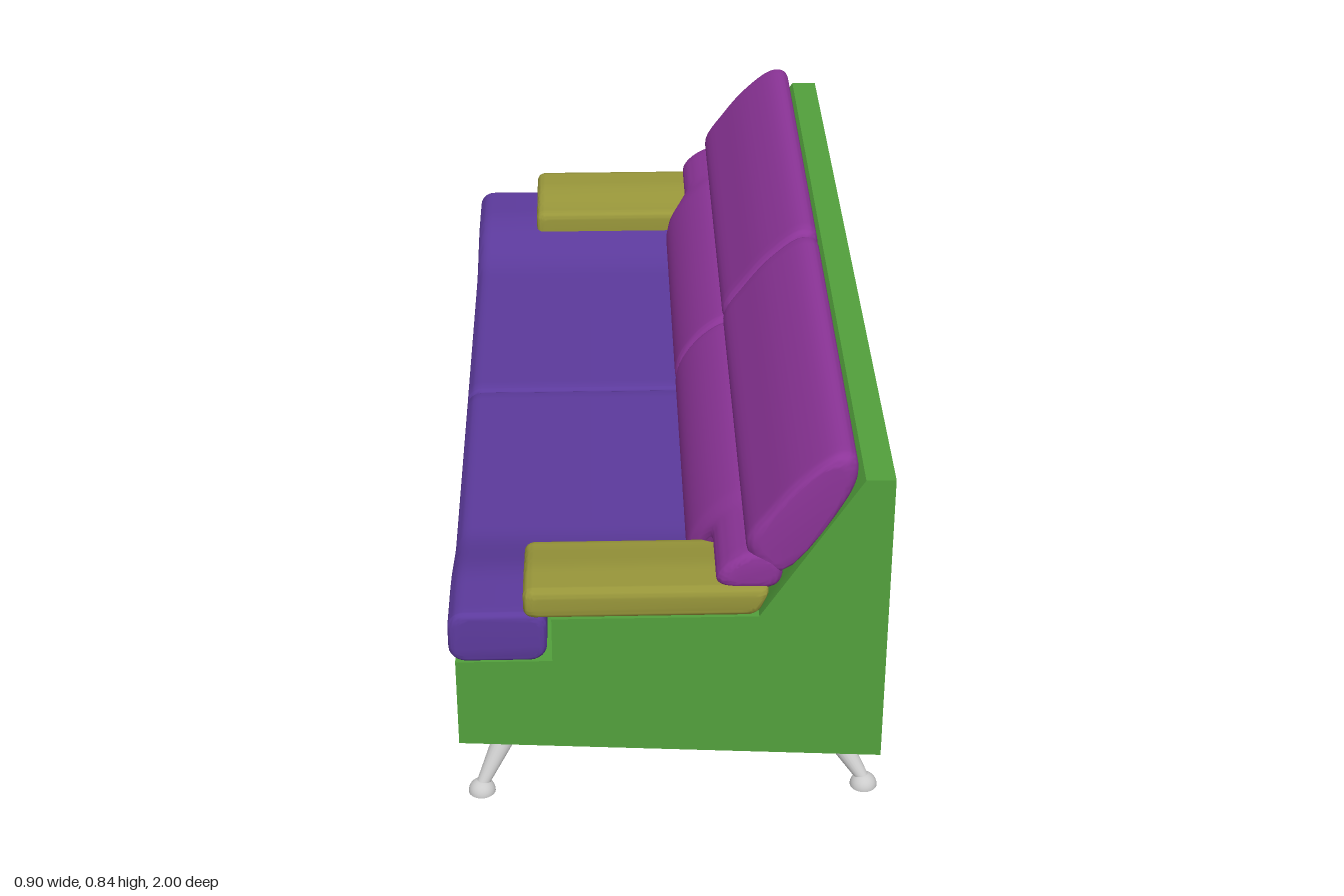
import * as THREE from 'three';
import { toCreasedNormals } from 'three/addons/utils/BufferGeometryUtils.js';

const mat = (color) => new THREE.MeshStandardMaterial({ color, roughness: 0.8 });
const GREEN = mat(0x52a03c), BLUE = mat(0x5c3a9c), PURPLE = mat(0x8c3498), OLIVE = mat(0x98963a), GREY = mat(0xcccccc);
const smooth = THREE.MathUtils.smoothstep;
const lerp = THREE.MathUtils.lerp;

// Closed solid lofted along z; section(z) gives counter-clockwise [x, y] points, r rounds both ends
function loft(section, z0, z1, r = 0, steps = 40) {
  const zs = [];
  const curve = r ? 6 : 0;
  for (let i = 0; i < curve; i++) zs.push(z0 + r * (1 - Math.cos((i / curve) * Math.PI / 2)));
  for (let i = 0; i <= steps; i++) zs.push(lerp(z0 + r, z1 - r, i / steps));
  for (let i = curve - 1; i >= 0; i--) zs.push(z1 - r * (1 - Math.cos((i / curve) * Math.PI / 2)));
  const pos = [], idx = [];
  let n = 0, first, last;
  zs.forEach((z, k) => {
    const pts = section(z);
    n = pts.length;
    const d = Math.min(z - z0, z1 - z, r);
    const inset = r - Math.sqrt(Math.max(0, r * r - (r - d) ** 2));
    const box = new THREE.Box2().setFromPoints(pts.map((p) => new THREE.Vector2(...p)));
    const c = box.getCenter(new THREE.Vector2()), s = box.getSize(new THREE.Vector2());
    const ring = pts.map(([x, y]) => new THREE.Vector2(
      c.x + (x - c.x) * (1 - 2 * inset / s.x), c.y + (y - c.y) * (1 - 2 * inset / s.y)));
    ring.forEach((p) => pos.push(p.x, p.y, z));
    if (k === 0) first = ring;
    last = ring;
  });
  for (let i = 0; i < zs.length - 1; i++) {
    for (let j = 0; j < n; j++) {
      const a = i * n + j, b = i * n + (j + 1) % n;
      idx.push(a, b, b + n, a, b + n, a + n);
    }
  }
  const top = (zs.length - 1) * n;
  THREE.ShapeUtils.triangulateShape(first, []).forEach(([a, b, c]) => idx.push(a, c, b));
  THREE.ShapeUtils.triangulateShape(last, []).forEach(([a, b, c]) => idx.push(top + a, top + b, top + c));
  const g = new THREE.BufferGeometry();
  g.setAttribute('position', new THREE.Float32BufferAttribute(pos, 3));
  g.setIndex(idx);
  return toCreasedNormals(g, 0.7);
}

// Rounded rectangle outline
function roundRect(x0, y0, x1, y1, r) {
  const corners = [[x1 - r, y0 + r, -1], [x1 - r, y1 - r, 0], [x0 + r, y1 - r, 1], [x0 + r, y0 + r, 2]];
  return corners.flatMap(([cx, cy, q]) => Array.from({ length: 7 }, (_, i) => {
    const a = (q + i / 6) * Math.PI / 2;
    return [cx + r * Math.cos(a), cy + r * Math.sin(a)];
  }));
}

// Smooth closed outline through a few points
function outline(points) {
  const c = new THREE.CatmullRomCurve3(points.map(([x, y]) => new THREE.Vector3(x, y, 0)), true);
  return c.getPoints(44).slice(0, -1).map((p) => [p.x, p.y]);
}

// The seat and its rail rise towards both ends
const lift = (z) => 0.05 * smooth(Math.abs(z), 0.6, 0.86);

const frameSection = (z) => [
  [-0.44, 0.15], [0.45, 0.10], [0.45, 0.79], [0.39, 0.79], [0.185, 0.465],
  [0.185, 0.31 + lift(z)], [-0.44, 0.31 + lift(z)],
];

const seatSection = (z) => {
  const h = lift(z), back = Math.abs(z) > 0.8 ? -0.25 : 0.18;
  return roundRect(-0.453, 0.31 + h, back, 0.429 + h, 0.035);
};

const lowerBack = outline([
  [0.22, 0.42], [0.24, 0.54], [0.215, 0.60], [0.165, 0.617],
  [0.10, 0.575], [0.052, 0.50], [0.05, 0.44], [0.10, 0.41],
]);
// The lumbar roll steps up over the armrests
const lowerBackSection = (z) => {
  const t = smooth(Math.abs(z), 0.74, 0.81);
  return lowerBack.map(([x, y]) => [
    lerp(x, 0.10 + (x - 0.05) * 0.69, t), lerp(y, 0.525 + (y - 0.41) * 0.44, t)]);
};

const upperBack = outline([
  [0.36, 0.74], [0.377, 0.80], [0.366, 0.836], [0.335, 0.84], [0.262, 0.785],
  [0.20, 0.71], [0.157, 0.64], [0.17, 0.59], [0.225, 0.56],
]);

// Armrest pads droop on their inner side and lean with the back at the rear
const armSection = (z) => {
  const t = 1 - smooth(Math.abs(z), 0.77, 0.92);
  return roundRect(-0.297, 0.468 - 0.04 * t, 0.21, 0.536 - 0.02 * t, 0.02)
    .map(([x, y]) => [x > 0.1 ? x - (0.536 - y) * 0.4 : x, y]);
};

function rod(from, to, rFrom, rTo) {
  const dir = new THREE.Vector3().subVectors(to, from);
  const g = new THREE.CylinderGeometry(rTo, rFrom, dir.length(), 20);
  g.applyQuaternion(new THREE.Quaternion().setFromUnitVectors(new THREE.Vector3(0, 1, 0), dir.clone().normalize()));
  const m = from.clone().add(to).multiplyScalar(0.5);
  return g.translate(m.x, m.y, m.z);
}

export function createModel() {
  const model = new THREE.Group();
  model.name = 'sofa';
  const add = (name, geometry, material, parent = model) => {
    const mesh = new THREE.Mesh(geometry, material);
    mesh.name = name;
    parent.add(mesh);
    return mesh;
  };

  add('frame', loft(frameSection, -0.99, 0.99, 0, 66), GREEN);

  for (const s of [-1, 1]) {
    const side = s > 0 ? 'Front' : 'Rear';
    // Build a lofted part between two distances from the middle, on this side
    const half = (section, a, b, r) => loft(section, Math.min(s * a, s * b), Math.max(s * a, s * b), r);

    add('armPanel' + side, half(() => [[-0.24, 0.32], [0.185, 0.32], [0.185, 0.465], [-0.24, 0.465]], 0.8, 0.99, 0), GREEN);
    add('armrest' + side, half(armSection, 0.77, 0.998, 0.018), OLIVE);
    add('seatCushion' + side, half(seatSection, 0.002, 0.993, 0.014), BLUE);
    add('lumbarCushion' + side, half(lowerBackSection, 0.002, 0.985, 0.022), PURPLE);
    add('backCushion' + side, half(() => upperBack, 0.002, 0.985, 0.028), PURPLE);

    // Splayed tapered legs with domed feet
    for (const [footX, topX, topY, topZ] of [[-0.398, -0.318, 0.16, 0.88], [0.42, 0.34, 0.125, 0.895]]) {
      const leg = new THREE.Group();
      leg.name = (footX < 0 ? 'seatLeg' : 'backLeg') + side;
      add('shaft', rod(new THREE.Vector3(footX, 0.015, s * 0.962), new THREE.Vector3(topX, topY, s * topZ), 0.013, 0.031), GREY, leg);
      const foot = add('foot', new THREE.SphereGeometry(0.029, 24, 10, 0, Math.PI * 2, 0, Math.PI / 2), GREY, leg);
      foot.position.set(footX, 0, s * 0.962);
      foot.scale.y = 0.95;
      const sole = add('sole', new THREE.CircleGeometry(0.029, 24).rotateX(Math.PI / 2), GREY, leg);
      sole.position.set(footX, 0, s * 0.962);
      model.add(leg);
    }
  }
  return model;
}
